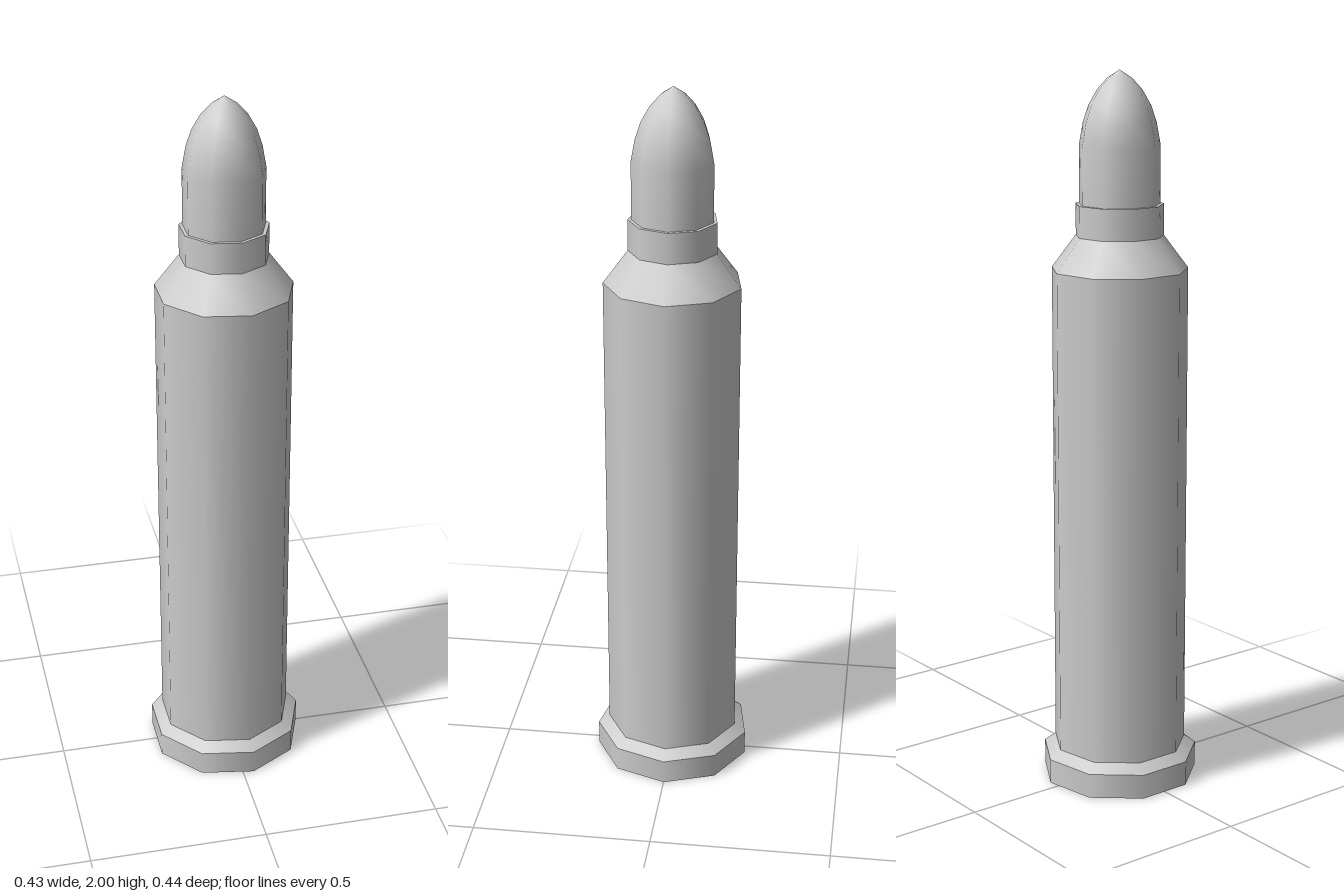
import * as THREE from 'three';

const SIDES = 9;

export function createModel() {
  const model = new THREE.Group();
  model.name = 'cartridge';
  const material = new THREE.MeshStandardMaterial({ color: 0xcccccc });

  // Each section is its own nine-sided lathe, so edges between sections stay sharp.
  // Profiles are [radius, height] pairs running upwards on the outside.
  function section(name, profile) {
    const points = profile.map(([r, y]) => new THREE.Vector2(r, y));
    const mesh = new THREE.Mesh(new THREE.LatheGeometry(points, SIDES, Math.PI / 2), material);
    mesh.name = name;
    model.add(mesh);
  }

  // Base flange
  section('baseDisc', [[0, 0], [0.222, 0]]);
  section('rim', [[0.222, 0], [0.222, 0.07]]);
  section('rimChamfer', [[0.222, 0.07], [0.19, 0.094]]);

  // Case
  section('caseBody', [[0.19, 0.094], [0.19, 1.465]]);
  section('shoulder', [[0.19, 1.465], [0.122, 1.556]]);
  section('neck', [[0.122, 1.556], [0.122, 1.642]]);
  section('neckLip', [[0.122, 1.642], [0.112, 1.642]]);

  // Rounded, pointed tip
  section('bulletTip', [
    [0.112, 1.642], [0.112, 1.8], [0.101, 1.86], [0.086, 1.905],
    [0.062, 1.947], [0.034, 1.978], [0, 2],
  ]);

  // The odd side count puts the axis slightly off the bounding-box centre
  model.position.x = -0.007;
  return model;
}
